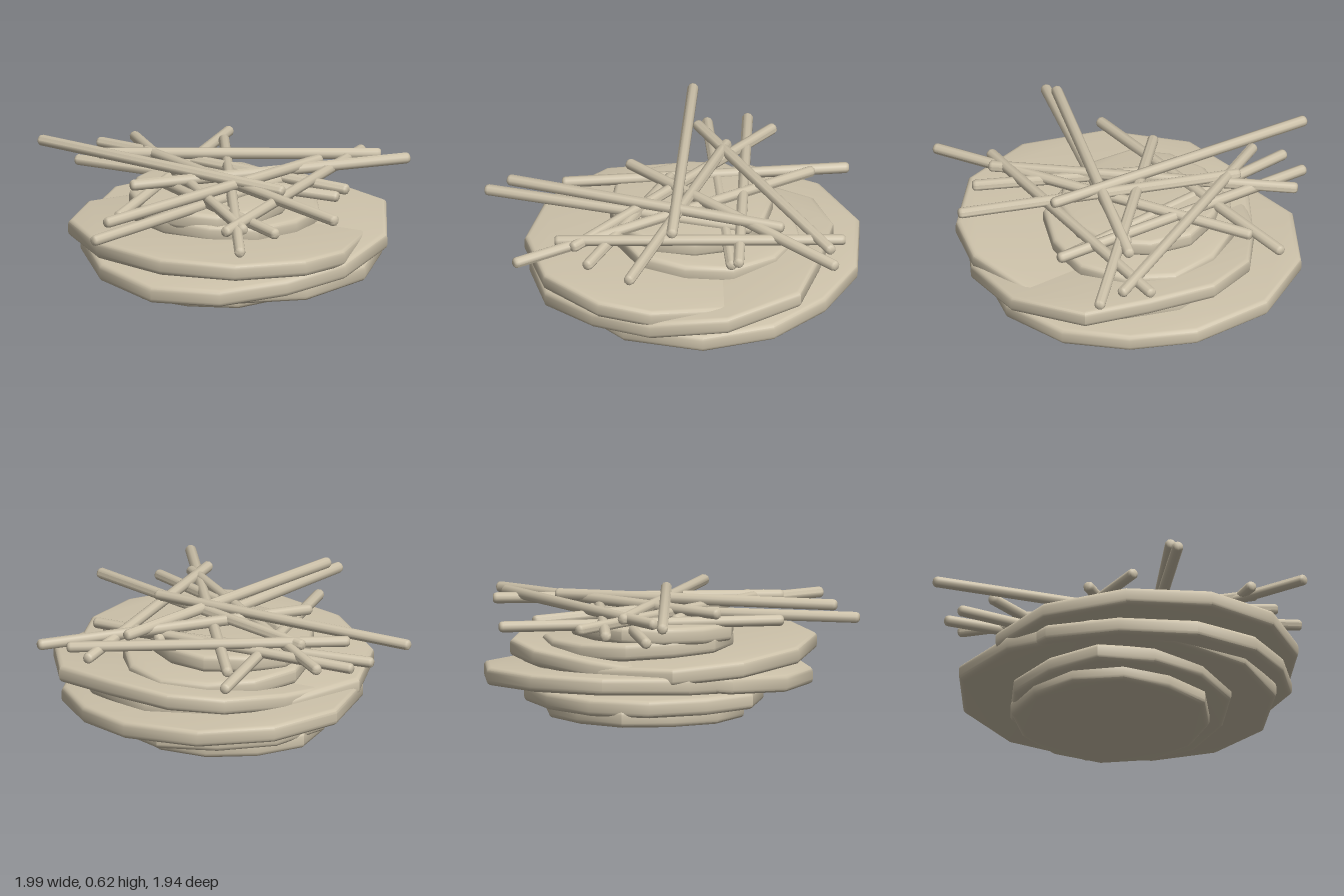
import * as THREE from 'three';
import { toCreasedNormals } from 'three/addons/utils/BufferGeometryUtils.js';

const THICK = 0.092;
const BEVEL = 0.026;

// Rounded slab from an [x, z] outline; its mid height is y + sx * x + sz * z
function slabGeometry(outline, y, sx, sz) {
  const shape = new THREE.Shape(outline.map(([x, z]) => new THREE.Vector2(x, -z)));
  const geo = new THREE.ExtrudeGeometry(shape, {
    depth: THICK - 2 * BEVEL, bevelEnabled: true, bevelThickness: BEVEL,
    bevelSize: BEVEL, bevelOffset: -BEVEL, bevelSegments: 3,
  });
  geo.translate(0, 0, BEVEL - THICK / 2).rotateX(-Math.PI / 2);
  const p = geo.attributes.position;
  for (let i = 0; i < p.count; i++) {
    p.setY(i, p.getY(i) + y + sx * p.getX(i) + sz * p.getZ(i));
  }
  return toCreasedNormals(geo, 0.65);
}

// Slightly uneven polygon around a centre
function unevenRing(cx, cz, rx, rz, phase, sides = 12) {
  return Array.from({ length: sides }, (_, i) => {
    const a = (i / sides) * Math.PI * 2 + phase;
    const k = 0.985 + 0.025 * Math.sin(i * 2.4 + phase * 5);
    return [cx + rx * k * Math.cos(a), cz + rz * k * Math.sin(a)];
  });
}

export function createModel() {
  const group = new THREE.Group();
  const twig = new THREE.MeshStandardMaterial({ color: 0xcdc2aa });
  twig.name = 'pale twig';

  // Stacked tilted slabs, bottom to top: name, outline, height, slopes in x and z
  const slabs = [
    ['baseSlab', unevenRing(-0.03, -0.14, 0.53, 0.52, 0.2), 0.055, 0, 0],
    ['lowerSlab', unevenRing(-0.01, -0.1, 0.64, 0.58, 0.5), 0.12, -0.005, 0.02],
    ['wideLowerSlab', [
      [0.15, -0.96], [0.52, -0.8], [0.76, -0.45], [0.81, -0.1], [0.74, 0.25], [0.5, 0.55],
      [0.1, 0.7], [-0.3, 0.62], [-0.62, 0.32], [-0.74, -0.1], [-0.58, -0.58], [-0.25, -0.9],
    ], 0.207, -0.015, -0.055],
    ['wideMiddleSlab', [
      [0.3, -0.7], [0.55, -0.53], [0.7, -0.2], [0.82, 0.13], [0.64, 0.52], [0.3, 0.74], [-0.05, 0.77],
      [-0.4, 0.7], [-0.68, 0.45], [-0.78, 0.05], [-0.7, -0.35], [-0.42, -0.62], [-0.05, -0.71],
    ], 0.28, 0.097, -0.055],
    ['wideUpperSlab', [
      [0.03, 0.83], [-0.35, 0.78], [-0.66, 0.52], [-0.82, 0.1], [-0.77, -0.35], [-0.52, -0.65],
      [-0.1, -0.7], [0.3, -0.62], [0.58, -0.35], [0.68, 0.05], [0.57, 0.43], [0.3, 0.73],
    ], 0.31, -0.04, 0.05],
    ['upperSlab', unevenRing(0.02, -0.12, 0.5, 0.5, 0.1), 0.39, -0.045, 0.01],
    ['topSlab', unevenRing(-0.07, -0.12, 0.43, 0.43, 0.35), 0.465, 0.01, -0.02],
  ];
  for (const [name, outline, y, sx, sz] of slabs) {
    const mesh = new THREE.Mesh(slabGeometry(outline, y, sx, sz), twig);
    mesh.name = name;
    group.add(mesh);
  }

  // Loose level sticks: x and z of each end, height
  const sticks = [
    [-0.65, -0.95, 0.14, 0.33, 0.6],
    [-0.49, -0.85, 0.48, 0.27, 0.5],
    [-0.31, -0.96, 0.53, 0.28, 0.535],
    [-0.12, -0.93, -0.25, 0.67, 0.55],
    [-0.41, 0.96, 0.29, -0.71, 0.54],
    [0.21, 0.81, -0.2, -0.63, 0.575],
    [-0.1, 0.75, -0.28, -0.25, 0.53],
    [-0.44, -0.69, 0.88, -0.06, 0.575],
    [-0.5, -0.17, 0.99, 0.05, 0.57],
    [-0.71, 0.12, 0.4, -0.87, 0.52],
    [-0.36, 0.67, 0.85, -0.22, 0.555],
    [-0.89, 0.35, 0.55, -0.09, 0.585],
    [-0.99, 0.41, 0.36, -0.07, 0.52],
  ];
  const R = 0.029;
  const up = new THREE.Vector3(0, 1, 0);
  sticks.forEach(([x0, z0, x1, z1, y], i) => {
    const dir = new THREE.Vector3(x1 - x0, 0, z1 - z0);
    const half = dir.length() / 2;
    // Rod with softly rounded ends
    const profile = [
      [0, -half], [0.6 * R, -half], [0.88 * R, -half + 0.007], [R, -half + 0.018],
      [R, half - 0.018], [0.88 * R, half - 0.007], [0.6 * R, half], [0, half],
    ].map(([r, h]) => new THREE.Vector2(r, h));
    const geo = toCreasedNormals(new THREE.LatheGeometry(profile, 10), 0.8);
    const mesh = new THREE.Mesh(geo, twig);
    mesh.name = `stick${i + 1}`;
    mesh.position.set((x0 + x1) / 2, y, (z0 + z1) / 2);
    mesh.quaternion.setFromUnitVectors(up, dir.normalize());
    group.add(mesh);
  });

  return group;
}
